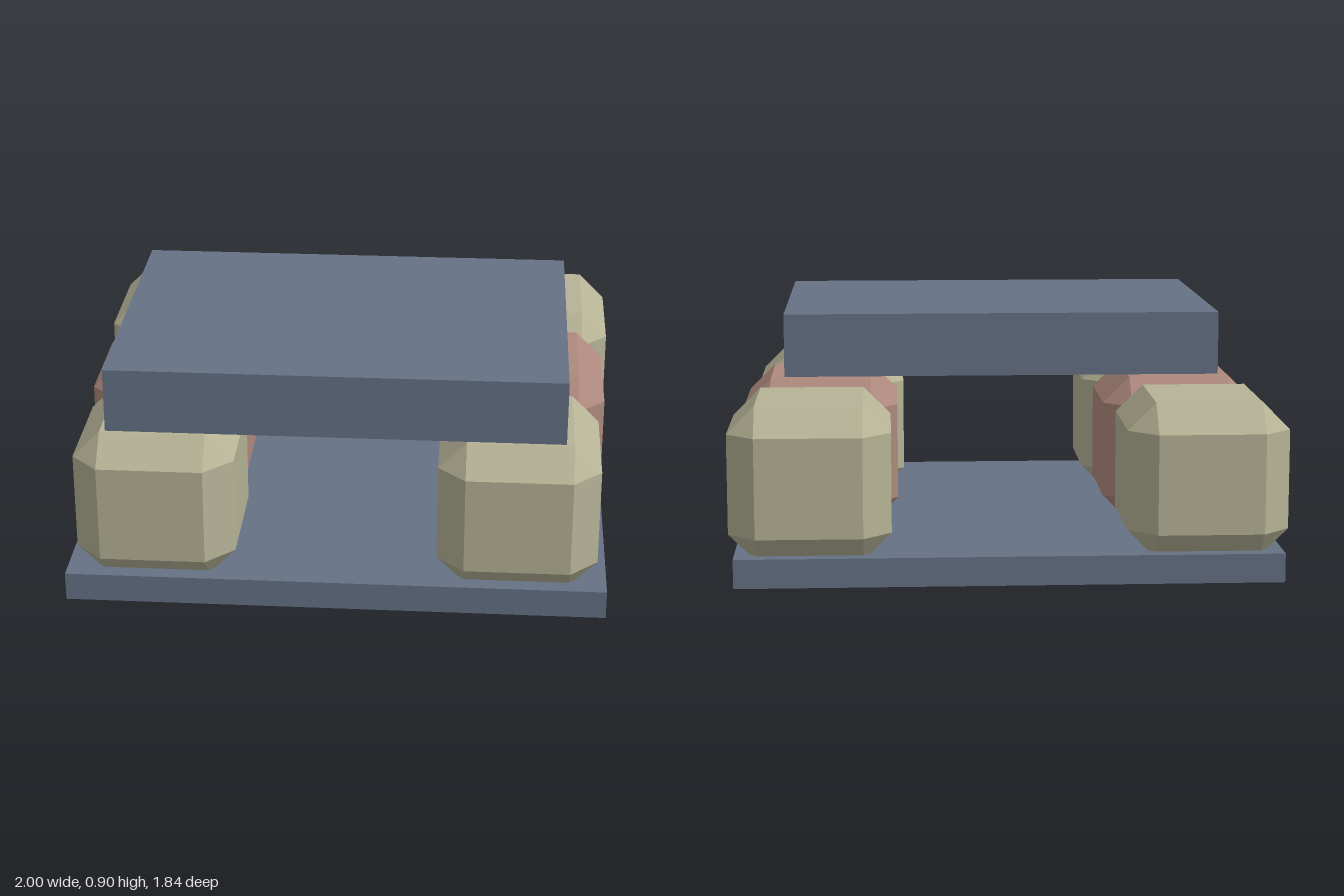
import * as THREE from 'three';
import { ConvexGeometry } from 'three/addons/geometries/ConvexGeometry.js';

const slate = new THREE.MeshStandardMaterial({ name: 'slate', color: 0x667285 });
const sand = new THREE.MeshStandardMaterial({ name: 'sand', color: 0xb6b396 });
const clay = new THREE.MeshStandardMaterial({ name: 'clay', color: 0xae897d });

// Box with flat bevels on every edge and triangular corners
function beveledBox(width, height, depth, bevel) {
  const half = [width / 2, height / 2, depth / 2];
  const points = [];
  for (const sx of [-1, 1]) for (const sy of [-1, 1]) for (const sz of [-1, 1]) {
    for (let axis = 0; axis < 3; axis++) {
      const [x, y, z] = half.map((h, i) => (i === axis ? h : h - bevel));
      points.push(new THREE.Vector3(sx * x, sy * y, sz * z));
    }
  }
  return new ConvexGeometry(points);
}

export function createModel() {
  const model = new THREE.Group();
  model.name = 'slabsAndBlocks';

  function add(name, geometry, material, x, y, z) {
    const mesh = new THREE.Mesh(geometry, material);
    mesh.name = name;
    mesh.position.set(x, y, z);
    model.add(mesh);
  }

  // Wide base plate and the smaller raised slab, set towards the front
  add('basePlate', new THREE.BoxGeometry(1.96, 0.105, 1.8), slate, 0, 0.0525, 0.003);
  add('upperSlab', new THREE.BoxGeometry(1.63, 0.235, 1.165), slate, 0, 0.7825, 0.274);

  // Three beveled blocks per side, slightly sunk into the base plate
  const block = beveledBox(0.58, 0.56, 0.62, 0.1);
  const rows = [
    ['frontBlock', sand, 0.655, 0.607],
    ['middleBlock', clay, 0.683, 0.01],
    ['rearBlock', sand, 0.71, -0.61],
  ];
  for (const [name, material, x, z] of rows) {
    add(name + 'Left', block, material, x, 0.36, z);
    add(name + 'Right', block, material, -x, 0.36, z);
  }
  return model;
}
